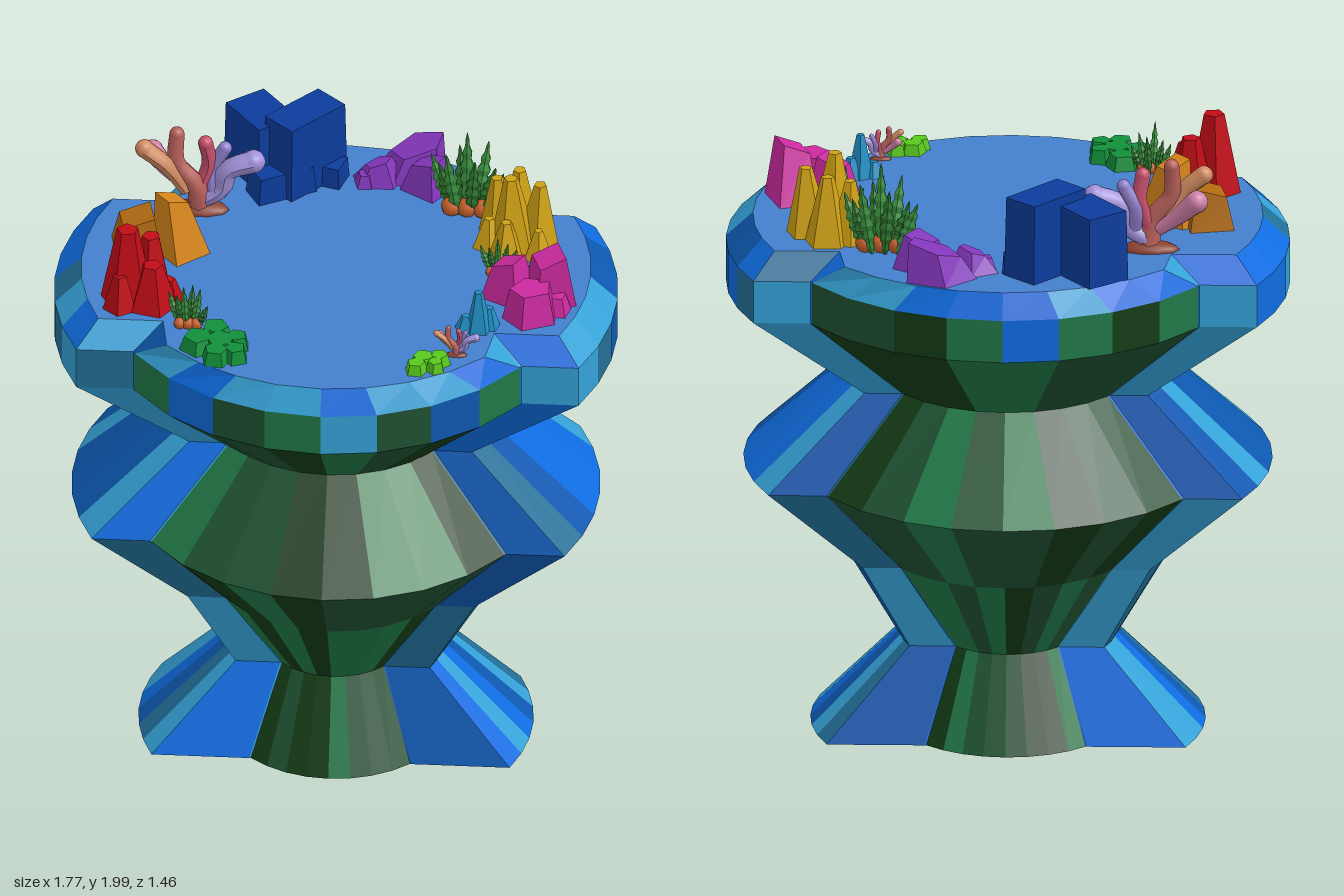
import * as THREE from 'three';

const TOP = 1.69;
const GREENS = [0x143c16, 0x1f5232, 0x217848];
const BLUES = [0x0f6ce0, 0x0d58b0, 0x35a2d8, 0x226f98];

let seed = 11;
const rnd = () => (seed = (seed * 16807) % 2147483647) / 2147483647;
const pick = (list) => list[Math.floor(rnd() * list.length)];

const mat = (color, flat = true, extra = {}) => new THREE.MeshStandardMaterial({ color, flatShading: flat, ...extra });

function group(parent, name, x = 0, y = TOP, z = 0) {
  const g = new THREE.Group();
  g.name = name;
  g.position.set(x, y, z);
  parent.add(g);
  return g;
}

function addMesh(parent, name, geo, material) {
  const m = new THREE.Mesh(geo, material);
  m.name = name;
  parent.add(m);
  return m;
}

// ---- pedestal: round core with two side wings, lofted through levels ----
// y, wing radius, core radius, wing half depth, x where core arc ends, x of inner wing corner
const LEVELS = [
  [0.003, 0.62, 0.36, 0.26, 0.25, 0.255],
  [0.295, 0.34, 0.22, 0.15, 0.16, 0.165],
  [0.59, 0.51, 0.41, 0.24, 0.325, 0.33],
  [0.88, 0.83, 0.67, 0.37, 0.555, 0.56],
  [1.18, 0.51, 0.41, 0.25, 0.32, 0.325],
  [1.47, 0.885, 0.73, 0.40, 0.605, 0.61],
  [1.61, 0.885, 0.73, 0.40, 0.605, 0.61],
  [TOP, 0.80, 0.69, 0.34, 0.50, 0.52],
];
const ARC = 8, WING = 6;

function ring([y, R, r, h, cx, jx]) {
  const pts = [];
  const a = Math.asin(cx / r), b = Math.asin(h / R);
  for (const s of [1, -1]) {
    for (let i = 0; i <= ARC; i++) {
      const t = a * (2 * i / ARC - 1);
      pts.push([s * r * Math.sin(t), y, s * r * Math.cos(t)]);
    }
    pts.push([s * jx, y, s * h]);
    for (let i = 0; i <= WING; i++) {
      const t = b * (1 - 2 * i / WING);
      pts.push([s * R * Math.cos(t), y, s * R * Math.sin(t)]);
    }
    pts.push([s * jx, y, -s * h]);
  }
  return pts;
}

function buildPedestal(root) {
  const g = group(root, 'pedestal', 0, 0, 0);
  const rings = LEVELS.map(ring);
  const n = rings[0].length, half = n / 2;
  const buckets = new Map();
  const tri = (color, ...p) => {
    if (!buckets.has(color)) buckets.set(color, []);
    buckets.get(color).push(...p.flat());
  };
  for (let k = 0; k < rings.length - 1; k++) {
    for (let i = 0; i < n; i++) {
      const j = (i + 1) % n, lo = rings[k], hi = rings[k + 1];
      const core = i % half < ARC;
      let color = pick(core ? GREENS : BLUES);
      if (core && k === 5 && rnd() < 0.3) color = pick(BLUES);
      if (k === 6) color = core ? pick([BLUES[0], BLUES[0], BLUES[2]]) : color;
      tri(color, lo[i], lo[j], hi[j], lo[i], hi[j], hi[i]);
    }
  }
  // top floor and underside
  const top = rings[rings.length - 1], low = rings[0];
  for (let i = 0; i < n; i++) {
    const j = (i + 1) % n;
    tri(0x4480cc, [0, TOP, 0], top[i], top[j]);
    tri(0x0d58b0, [0, 0.003, 0], low[j], low[i]);
  }
  for (const [color, list] of buckets) {
    const geo = new THREE.BufferGeometry();
    geo.setAttribute('position', new THREE.Float32BufferAttribute(list, 3));
    geo.computeVertexNormals();
    addMesh(g, 'pedestalFacets', geo, mat(color));
  }
  addMesh(g, 'coreUnderside', new THREE.CircleGeometry(0.36, 24).rotateX(Math.PI / 2), mat(GREENS[0]));
}

// ---- reef pieces ----
// Tapered prism with a leaning, sloping top
function chunk(g, color, x, z, w, d, h, { top = 0.6, sides = 5, rot = 0, lx = 0, lz = 0, slope = 0 } = {}) {
  const r = 0.5 / Math.cos(Math.PI / sides);
  const geo = new THREE.CylinderGeometry(r * top, r, 1, sides).rotateY(Math.PI / sides);
  geo.translate(0, 0.5, 0).scale(w, h, d);
  const p = geo.attributes.position;
  for (let i = 0; i < p.count; i++) {
    const f = p.getY(i) / h;
    p.setXYZ(i, p.getX(i), p.getY(i) + f * slope * p.getX(i), p.getZ(i));
  }
  geo.rotateY(rot);
  for (let i = 0; i < p.count; i++) {
    const f = p.getY(i) / h;
    p.setXYZ(i, p.getX(i) + lx * f, p.getY(i), p.getZ(i) + lz * f);
  }
  geo.translate(x, 0, z);
  return addMesh(g, 'rock', geo, mat(color));
}

// Rounded coral arm along a curve, swelling toward its tip
function arm(g, color, pts, r0, r1) {
  const curve = new THREE.CatmullRomCurve3(pts.map((p) => new THREE.Vector3(...p)));
  const seg = 10, rad = 8;
  const geo = new THREE.TubeGeometry(curve, seg, 1, rad);
  const p = geo.attributes.position;
  const v = new THREE.Vector3();
  for (let i = 0; i < p.count; i++) {
    const t = Math.floor(i / (rad + 1)) / seg;
    const c = curve.getPointAt(t);
    v.fromBufferAttribute(p, i).sub(c).multiplyScalar(r0 + (r1 - r0) * t).add(c);
    p.setXYZ(i, v.x, v.y, v.z);
  }
  geo.computeVertexNormals();
  const m = mat(color, false);
  addMesh(g, 'coralArm', geo, m);
  addMesh(g, 'coralTip', new THREE.SphereGeometry(r1, 10, 8), m).position.copy(curve.getPoint(1));
}

// Fan of wavy leaves with small coral blobs at the foot
function plant(root, x, z, width, height, leaves, rot) {
  const g = group(root, 'seaPlant', x, TOP, z);
  g.rotation.y = rot;
  const profile = [];
  for (let i = 0; i <= 12; i++) {
    const t = i / 12;
    profile.push(new THREE.Vector2(0.001 + Math.sin(Math.PI * Math.min(1, t * 0.9 + 0.1)) * (i % 2 ? 0.09 : 0.06), t));
  }
  const leafGeo = new THREE.LatheGeometry(profile, 6);
  for (let i = 0; i < leaves; i++) {
    const u = leaves > 1 ? 2 * i / (leaves - 1) - 1 : 0;
    const h = height * (1 - 0.35 * Math.abs(u)) * (i % 2 ? 0.82 : 1);
    const leaf = addMesh(g, 'leaf', leafGeo, mat(i % 2 ? 0x2f7a30 : 0x3c9440, true, { side: THREE.DoubleSide }));
    leaf.scale.set(height * 0.95, h, height * 0.6);
    leaf.position.set(u * width * 0.22, 0, (i % 3 - 1) * height * 0.06);
    leaf.rotation.set((i % 3 - 1) * 0.12, 0, -u * Math.atan2(width * 0.28, h));
  }
  for (const s of [-1, 0, 1]) {
    const blob = addMesh(g, 'footCoral', new THREE.SphereGeometry(height * 0.11, 8, 6), mat(0xc8602c, false));
    blob.position.set(s * width * 0.2, height * 0.08, 0.01);
  }
}

function coral(root, x, z, s, rot) {
  const g = group(root, 'branchCoral', x, TOP, z);
  g.scale.setScalar(s);
  g.rotation.y = rot;
  const base = addMesh(g, 'coralBase', new THREE.SphereGeometry(0.05, 10, 8), mat(0x8a4030, false));
  base.scale.set(1.9, 0.6, 0.9);
  arm(g, 0xb8605a, [[0, 0, 0], [-0.01, 0.1, 0.01], [-0.07, 0.18, 0.01], [-0.07, 0.28, 0]], 0.034, 0.024);
  arm(g, 0xd08a60, [[-0.04, 0.08, 0.01], [-0.1, 0.18, 0.03], [-0.17, 0.24, 0.03]], 0.024, 0.03);
  arm(g, 0xc8506c, [[0, 0.08, 0], [0.03, 0.17, -0.01], [0.02, 0.25, 0]], 0.022, 0.024);
  arm(g, 0xa090d8, [[0, 0.03, 0], [0.07, 0.08, 0], [0.09, 0.15, 0], [0.17, 0.18, -0.01]], 0.026, 0.038);
  arm(g, 0x9080cc, [[0.05, 0.07, 0], [0.04, 0.14, -0.02], [0.08, 0.22, -0.02]], 0.026, 0.022);
  arm(g, 0xd080a8, [[-0.03, 0.07, -0.01], [-0.1, 0.13, -0.03], [-0.15, 0.18, -0.05]], 0.02, 0.036);
}

export function createModel() {
  const root = new THREE.Group();
  root.name = 'reefPedestal';
  buildPedestal(root);

  // blue block stack
  let g = group(root, 'blueBlocks');
  const blue = 0x0c3c9c;
  chunk(g, blue, -0.27, -0.53, 0.15, 0.2, 0.23, { sides: 4, top: 0.95, rot: 0.65 });
  chunk(g, blue, -0.13, -0.49, 0.13, 0.24, 0.26, { sides: 4, top: 0.95, rot: -0.75 });
  chunk(g, blue, -0.2, -0.42, 0.2, 0.1, 0.09, { sides: 4, top: 0.9, rot: 0.5 });
  chunk(g, blue, -0.04, -0.49, 0.07, 0.09, 0.07, { sides: 4, top: 0.9, rot: -0.3 });

  // purple crystals
  g = group(root, 'purpleCrystals');
  const purple = 0x8436bc;
  chunk(g, purple, 0.2, -0.56, 0.19, 0.16, 0.1, { top: 0.7, lx: 0.02, slope: 0.35, rot: 0.2 });
  chunk(g, purple, 0.26, -0.47, 0.13, 0.13, 0.1, { sides: 4, rot: -0.6, slope: 0.3 });
  chunk(g, purple, 0.1, -0.5, 0.14, 0.1, 0.07, { slope: 0.4, top: 0.5 });
  chunk(g, purple, 0.06, -0.48, 0.06, 0.07, 0.04);

  // yellow spires
  g = group(root, 'yellowSpires');
  for (const [x, z, w, h, lx] of [[0.55, -0.15, 0.13, 0.26, -0.01], [0.62, -0.18, 0.12, 0.22, 0.01],
    [0.5, -0.24, 0.11, 0.2, -0.01], [0.56, -0.26, 0.12, 0.22, 0], [0.47, -0.16, 0.09, 0.1, 0],
    [0.53, -0.08, 0.1, 0.14, 0], [0.63, -0.1, 0.08, 0.1, 0]])
    chunk(g, 0xd0a214, x, z, w, w, h, { top: 0.28, lx, rot: h * 20 });

  // magenta slabs
  g = group(root, 'magentaSlabs');
  const magenta = 0xcc2aa0;
  chunk(g, magenta, 0.68, 0.12, 0.13, 0.15, 0.17, { sides: 4, top: 0.65, rot: 0.35, lz: 0.03, slope: 0.4 });
  chunk(g, magenta, 0.55, 0.12, 0.13, 0.12, 0.13, { sides: 4, top: 0.6, rot: -0.5, slope: 0.4 });
  chunk(g, magenta, 0.63, 0.24, 0.15, 0.13, 0.11, { top: 0.75, rot: 0.4 });
  chunk(g, magenta, 0.71, 0.2, 0.07, 0.08, 0.06);

  // small cyan crystals
  g = group(root, 'cyanCrystals');
  chunk(g, 0x2090c4, 0.47, 0.32, 0.07, 0.07, 0.14, { top: 0.3 });
  chunk(g, 0x2090c4, 0.5, 0.3, 0.06, 0.06, 0.07, { top: 0.4 });
  chunk(g, 0x2090c4, 0.43, 0.32, 0.06, 0.05, 0.05, { top: 0.4 });

  // low green stones
  g = group(root, 'greenStones');
  for (const [x, z, w] of [[-0.35, 0.42, 0.09], [-0.4, 0.48, 0.1], [-0.33, 0.49, 0.1], [-0.28, 0.47, 0.07], [-0.34, 0.55, 0.08], [-0.28, 0.54, 0.07]])
    chunk(g, 0x12903a, x, z, w, w, 0.045, { top: 0.75, rot: x * 30 });
  for (const [x, z, w] of [[0.36, 0.52, 0.06], [0.31, 0.53, 0.07], [0.29, 0.57, 0.06], [0.35, 0.56, 0.05]])
    chunk(g, 0x58c81c, x, z, w, w, 0.035, { top: 0.75, rot: x * 30 });

  // red spires
  g = group(root, 'redSpires');
  for (const [x, z, w, h] of [[-0.64, 0.22, 0.14, 0.26], [-0.57, 0.16, 0.12, 0.2], [-0.56, 0.25, 0.13, 0.15],
    [-0.66, 0.27, 0.09, 0.12], [-0.51, 0.22, 0.08, 0.08], [-0.6, 0.11, 0.07, 0.08]])
    chunk(g, 0xc00c16, x, z, w, w, h, { top: 0.4, rot: h * 15 });

  // orange slabs
  g = group(root, 'orangeSlabs');
  chunk(g, 0xb06a10, -0.63, -0.07, 0.14, 0.15, 0.12, { sides: 4, top: 0.7, rot: 0.2, slope: 0.3 });
  chunk(g, 0xd8861a, -0.49, -0.06, 0.13, 0.13, 0.2, { sides: 4, top: 0.55, rot: 0.7, lx: -0.03, slope: -0.4 });
  chunk(g, 0xd8861a, -0.55, -0.09, 0.06, 0.06, 0.08);

  // plants and corals
  plant(root, 0.39, -0.34, 0.25, 0.3, 9, -0.08);
  plant(root, 0.51, 0.0, 0.12, 0.15, 5, 0);
  plant(root, -0.44, 0.36, 0.13, 0.18, 6, 0);
  coral(root, -0.45, -0.3, 1, 0);
  coral(root, 0.41, 0.47, 0.36, 0);
  return root;
}
